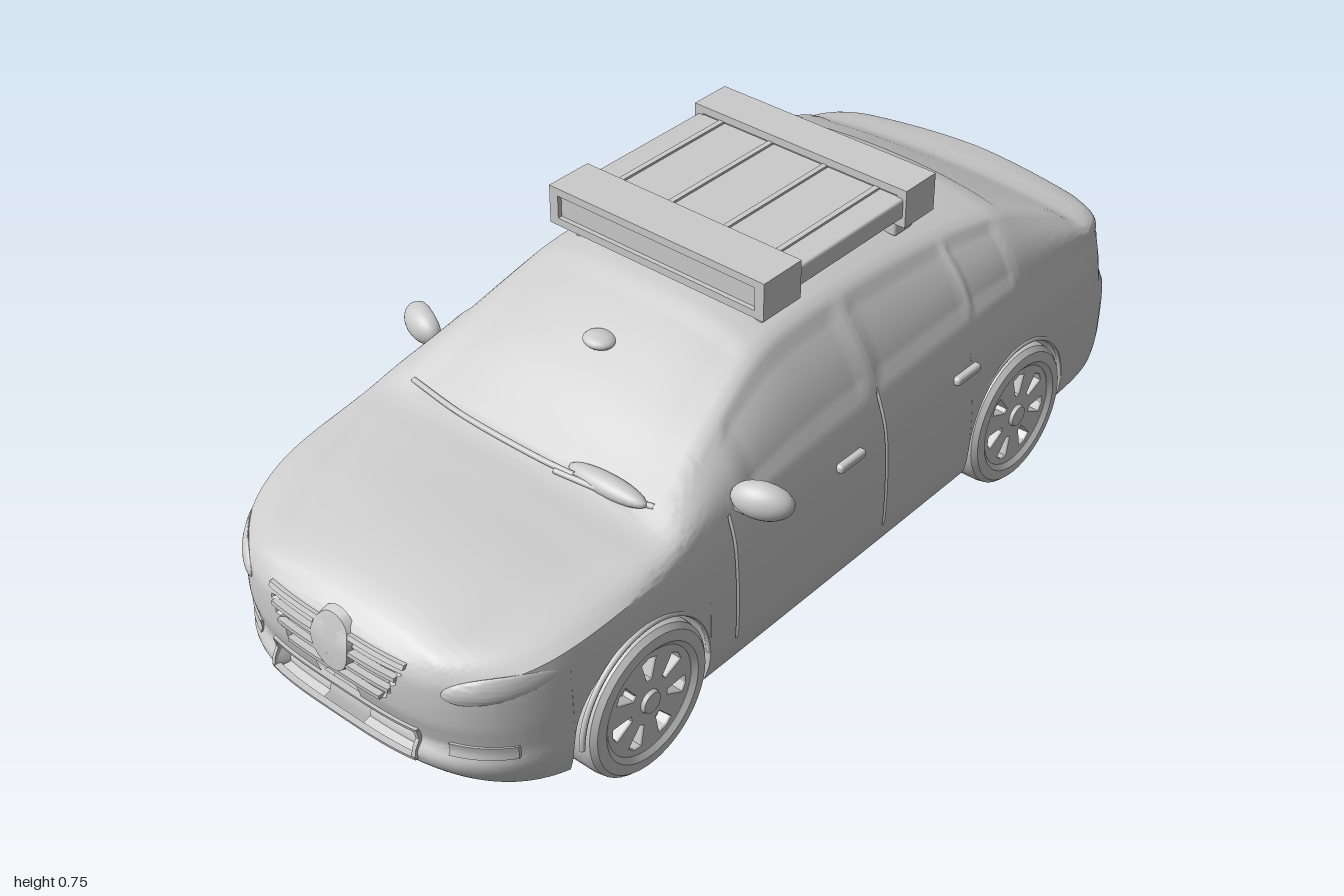
import * as THREE from 'three';
import { toCreasedNormals } from 'three/addons/utils/BufferGeometryUtils.js';
import { RoundedBoxGeometry } from 'three/addons/geometries/RoundedBoxGeometry.js';

const mat = new THREE.MeshStandardMaterial({ color: 0xcccccc, side: THREE.DoubleSide });
const clamp = THREE.MathUtils.clamp;

// Smooth curve through [position, value] pairs
function curve(pts) {
  const slope = i => {
    const a = pts[Math.max(i - 1, 0)], b = pts[Math.min(i + 1, pts.length - 1)];
    return (b[1] - a[1]) / (b[0] - a[0]);
  };
  return t => {
    t = clamp(t, pts[0][0], pts[pts.length - 1][0]);
    let i = 0;
    while (i < pts.length - 2 && t > pts[i + 1][0]) i++;
    const [t0, a] = pts[i], [t1, b] = pts[i + 1], h = t1 - t0, s = (t - t0) / h;
    const s2 = s * s, s3 = s2 * s;
    return a * (2 * s3 - 3 * s2 + 1) + b * (3 * s2 - 2 * s3) + h * (slope(i) * (s3 - 2 * s2 + s) + slope(i + 1) * (s3 - s2));
  };
}

// Body lines along z: centre top, shoulder, roof/hood edge, underside
const topY = curve([[-1, .475], [-.93, .485], [-.83, .5], [-.78, .528], [-.63, .607], [-.57, .63], [-.4, .652], [-.1, .668], [.08, .663],
  [.165, .645], [.33, .568], [.46, .492], [.52, .462], [.6, .452], [.75, .437], [.88, .41], [.95, .385], [.99, .355]]);
const shoulderY = curve([[-1, .4], [-.9, .43], [-.6, .455], [0, .44], [.45, .415], [.7, .39], [.85, .36], [.99, .32]]);
const edgeDrop = curve([[-1, .02], [-.8, .02], [-.55, .04], [.1, .035], [.3, .03], [.5, .02], [.8, .025], [.99, .01]]);
const edgeX = curve([[-1, .35], [-.85, .345], [-.6, .305], [-.4, .28], [0, .272], [.15, .278], [.35, .315], [.5, .345], [.7, .29], [.93, .22], [1, .2]]);
const floorY = curve([[-1, .15], [-.95, .13], [-.7, .115], [-.3, .1], [.4, .085], [.8, .085], [.95, .1], [.99, .12]]);
// Lines by height: width, nose profile, tail profile
const widthAt = curve([[.08, .955], [.13, .99], [.2, 1], [.3, .995], [.38, .975], [.46, .915]]);
const noseIn = curve([[.08, -.05], [.12, -.01], [.15, 0], [.175, -.015], [.2, -.01], [.24, 0], [.32, 0], [.36, -.015], [.46, -.02]]);
const tailIn = curve([[.1, .05], [.15, .01], [.19, 0], [.29, 0], [.32, .035], [.4, .045], [.44, .04], [.49, .045]]);

const W = .422, nose = { z1: .45, len: .54, n: 3.4 }, tail = { z1: -.5, len: -.5, n: 5 };
const axles = [.617, -.543], wheelY = .16, archR = .17, seams = [.37, -.085];
const round = (a, n) => Math.pow(Math.max(0, 1 - Math.pow(Math.min(a, 1), n)), 1 / n);
const planWidth = z => {
  const e = z > 0 ? nose : tail;
  return Math.max(.001, W * round(Math.max(0, (z - e.z1) / e.len), e.n));
};
const shiftZ = (z, y) => z > 0 ? noseIn(y) * clamp((z - .7) / .29, 0, 1) ** 2 : tailIn(y) * clamp((-z - .75) / .25, 0, 1) ** 2;
const endZ = (x, y, e) => {
  const z = e.z1 + e.len * round(Math.abs(x) / (W * widthAt(y)), e.n);
  return z + shiftZ(z, y);
};

function sillY(z) {
  let y = floorY(z);
  for (const c of axles) {
    const d = Math.abs(z - c);
    if (d <= archR) y = Math.max(y, wheelY + Math.sqrt(archR * archR - d * d));
  }
  return y;
}

// Half section from floor centre, round the wheel well and side, to roof centre
function section(z) {
  const w = planWidth(z), yb = floorY(z), yl = sillY(z), ys = shoulderY(z), yt = topY(z);
  const xs = w * widthAt(ys), xr = Math.min(edgeX(z), w * .85), yr = yt - edgeDrop(z), xi = Math.min(.29, w * .8);
  const pts = [];
  const add = (x, y, dz = 0) => pts.push([x, y, z + shiftZ(z, y) + dz]);
  add(0, yb); add(xi, yb); add(xi, yl);
  for (let k = 0; k <= 24; k++) {
    const y = yl + (ys - yl) * k / 24;
    let x = w * widthAt(y), dz = 0;
    if (seams.some(s => Math.abs(z - s) < .001) && y > .15) x -= .004;
    if (z > .85 && x < .18 && y > .14 && y < .195) dz = -.025;
    if (z > .85 && x < .17 - (.34 - y) * .5 && y > .25 && y < .342) dz = -.012;
    if (z < -.85 && x < .13 && y > .345 && y < .4) dz = .015;
    add(x, y, dz);
  }
  // side glass sits slightly inside its frame
  const glass = (z < .31 && z > -.065) || (z < -.105 && z > -.39) || (z < -.42 && z > -.56);
  for (let k = 1; k <= 12; k++) {
    const s = k / 12, bulge = Math.sin(Math.PI * s) * .012;
    const inset = glass && s > .15 && s < .85 ? .006 : 0;
    add(xs + (xr - xs) * s + bulge * Math.min(1, w / .3) - inset, ys + (yr - ys) * s + bulge * .5);
  }
  // roof, hood, screens and boot lid
  const screen = (z > .16 && z < .5) || (z < -.62 && z > -.8);
  for (let k = 1; k <= 12; k++) {
    const s = 1 - k / 12;
    add(xr * s, yt - (yt - yr) * Math.pow(s, 2.4) - (screen && s < .9 ? .004 : 0));
  }
  return pts;
}

function bodyGeometry() {
  let zs = [];
  for (let z = -.95; z < .96; z += .02) zs.push(z);
  for (const e of [nose, tail]) for (let k = 0; k <= 32; k++) zs.push(e.z1 + e.len * round(k / 32, e.n));
  for (const c of axles) {
    for (let k = 0; k <= 28; k++) zs.push(c + archR * .9999 * Math.cos(k * Math.PI / 28));
    zs.push(c + archR + .0005, c - archR - .0005);
  }
  for (const s of seams) zs.push(s - .004, s, s + .004);
  zs = zs.sort((a, b) => a - b).filter((z, i, a) => !i || z - a[i - 1] > 1e-4);
  const pos = [], idx = [];
  let n = 0;
  for (const z of zs) {
    const half = section(z);
    const ring = half.concat(half.slice(1, -1).reverse().map(([x, y, q]) => [-x, y, q]));
    n = ring.length;
    pos.push(...ring.flat());
  }
  for (let i = 0; i < zs.length - 1; i++) for (let j = 0; j < n; j++) {
    const a = i * n + j, b = i * n + (j + 1) % n;
    idx.push(a, b, a + n, b, b + n, a + n);
  }
  const g = new THREE.BufferGeometry();
  g.setAttribute('position', new THREE.Float32BufferAttribute(pos, 3));
  g.setIndex(idx);
  return toCreasedNormals(g, .6);
}

function mesh(parent, name, geo, x = 0, y = 0, z = 0) {
  const m = new THREE.Mesh(geo, mat);
  m.name = name;
  m.position.set(x, y, z);
  parent.add(m);
  return m;
}

// Lay a flat part on the curved nose or tail
function wrap(parent, name, geo, x, y, end) {
  geo.translate(x, y, 0);
  const p = geo.attributes.position;
  for (let i = 0; i < p.count; i++) p.setZ(i, p.getZ(i) + endZ(p.getX(i), p.getY(i), end));
  geo.computeVertexNormals();
  return mesh(parent, name, toCreasedNormals(geo, .6));
}
const bar = (w, h, d) => new THREE.BoxGeometry(w, h, d, 20, 3, 1);

function wheel() {
  const g = new THREE.Group();
  g.name = 'wheel';
  const lathe = pts => new THREE.LatheGeometry(pts.map(p => new THREE.Vector2(...p)), 48).rotateZ(-Math.PI / 2);
  mesh(g, 'tyre', toCreasedNormals(lathe([[.112, -.055], [.125, -.064], [.147, -.062], [.157, -.052], [.16, -.035],
    [.16, .035], [.157, .052], [.147, .062], [.125, .064], [.114, .056], [.112, .03]]), .6));
  mesh(g, 'rimBack', lathe([[0, -.05], [.113, -.05], [.113, .02], [0, .02]]));
  const face = new THREE.Shape().absarc(0, 0, .115, 0, Math.PI * 2);
  for (let i = 0; i < 7; i++) {
    const a = i / 7 * Math.PI * 2 + Math.PI / 2, hole = new THREE.Path();
    [[.05, -.13], [.098, -.2], [.102, 0], [.098, .2], [.05, .13]].forEach(([r, d], k) =>
      hole[k ? 'lineTo' : 'moveTo'](r * Math.cos(a + d), r * Math.sin(a + d)));
    hole.closePath();
    face.holes.push(hole);
  }
  const spokes = new THREE.ExtrudeGeometry(face, { depth: .022, bevelEnabled: true, bevelSize: .002, bevelThickness: .003, bevelSegments: 1, curveSegments: 32 });
  mesh(g, 'spokes', spokes.rotateY(Math.PI / 2), .03);
  mesh(g, 'hub', new THREE.CylinderGeometry(.022, .026, .012, 24).rotateZ(-Math.PI / 2), .057);
  return g;
}

// Light bar with a framed front and back
function roofBar(parent, name, z, depth) {
  const g = new THREE.Group();
  g.name = name;
  mesh(g, 'barCore', new THREE.BoxGeometry(.53, .075, depth - .02));
  const s = new THREE.Shape([[-.272, -.042], [.272, -.042], [.272, .042], [-.272, .042]].map(p => new THREE.Vector2(...p)));
  s.holes.push(new THREE.Path([[-.25, -.025], [-.25, .025], [.25, .025], [.25, -.025]].map(p => new THREE.Vector2(...p))));
  mesh(g, 'barCasing', new THREE.ExtrudeGeometry(s, { depth, bevelEnabled: false }), 0, 0, -depth / 2);
  g.position.set(0, .713, z);
  parent.add(g);
}

export function createModel() {
  const car = new THREE.Group();
  car.name = 'car';
  mesh(car, 'body', bodyGeometry());

  // Nose
  for (const [y, w] of [[.342, .35], [.312, .32], [.28, .29], [.25, .24]]) wrap(car, 'grilleBar', bar(w, .009, .014), 0, y, nose);
  wrap(car, 'grilleDisc', new THREE.CylinderGeometry(.048, .052, .016, 32).rotateX(Math.PI / 2).scale(1, 1.25, 1), 0, .312, nose);
  for (const y of [.138, .198]) wrap(car, 'intakeRail', bar(.38, .008, .014), 0, y, nose);
  for (const s of [1, -1]) {
    wrap(car, 'intakeEnd', bar(.008, .06, .014), s * .187, .168, nose);
    wrap(car, 'fogLamp', bar(.1, .028, .01), s * .3, .18, nose);
    const lamp = new THREE.SphereGeometry(1, 28, 16).scale(.07, .026, .009).rotateZ(s * .22);
    wrap(car, 'headlight', lamp, s * .315, .325, nose);
    // Tail
    wrap(car, 'tailLight', bar(.15, .045, .008), s * .28, .39, tail);
  }
  wrap(car, 'plateTrim', bar(.28, .008, .012), 0, .405, tail);
  wrap(car, 'bumperTrim', bar(.66, .008, .008), 0, .2, tail);

  // Wheels, arch lips, mirrors and handles
  for (const s of [1, -1]) {
    for (const z of axles) {
      const w = wheel();
      w.position.set(s * .366, wheelY, z);
      if (s < 0) w.rotation.y = Math.PI;
      car.add(w);
      const lip = new THREE.TorusGeometry(archR + .003, .006, 8, 40, Math.PI).rotateY(Math.PI / 2);
      mesh(car, 'archLip', lip, s * .415, wheelY, z);
    }
    for (const z of [.03, -.35]) mesh(car, 'doorHandle', new RoundedBoxGeometry(.02, .02, .08, 3, .008), s * .417, .367, z);
    const m = new THREE.Group();
    m.name = 'sideMirror';
    const shell = new THREE.SphereGeometry(1, 28, 18).scale(.062, .038, .036);
    const p = shell.attributes.position;
    for (let i = 0; i < p.count; i++) if (p.getZ(i) < -.012) p.setZ(i, -.012);
    shell.computeVertexNormals();
    mesh(m, 'mirrorShell', shell, s * .44, .458, .325).rotation.y = s * .35;
    mesh(m, 'mirrorStalk', new RoundedBoxGeometry(.06, .022, .035, 3, .009), s * .392, .435, .335);
    car.add(m);
  }

  // Wipers and small parts at the windscreen
  const wiper = (...pts) => new THREE.TubeGeometry(new THREE.CatmullRomCurve3(pts.map(q => new THREE.Vector3(...q))), 24, .006, 8);
  mesh(car, 'wiper', wiper([-.31, .462, .48], [-.15, .468, .505], [.05, .47, .51], [.14, .47, .505]));
  mesh(car, 'wiper', wiper([.1, .466, .515], [.22, .467, .5], [.31, .465, .475]));
  mesh(car, 'cowlHump', new THREE.SphereGeometry(1, 24, 12).scale(.095, .02, .025), .205, .468, .485);
  mesh(car, 'screenSensor', new THREE.SphereGeometry(1, 20, 12).scale(.035, .014, .03), 0, .592, .28);

  // Roof equipment
  roofBar(car, 'frontRoofBar', .07, .11);
  roofBar(car, 'rearRoofBar', -.358, .095);
  mesh(car, 'roofDeck', new RoundedBoxGeometry(.51, .05, .34, 2, .006), 0, .709, -.148);
  for (const x of [-.2, -.07, .07, .2]) mesh(car, 'deckRib', new THREE.BoxGeometry(.012, .008, .33), x, .735, -.148);
  for (const s of [1, -1]) {
    mesh(car, 'deckRail', new RoundedBoxGeometry(.02, .045, .34, 2, .006), s * .255, .712, -.148);
    for (const z of [.06, -.355]) mesh(car, 'roofFoot', new RoundedBoxGeometry(.04, .05, .06, 2, .006), s * .22, .655, z);
  }
  return car;
}
